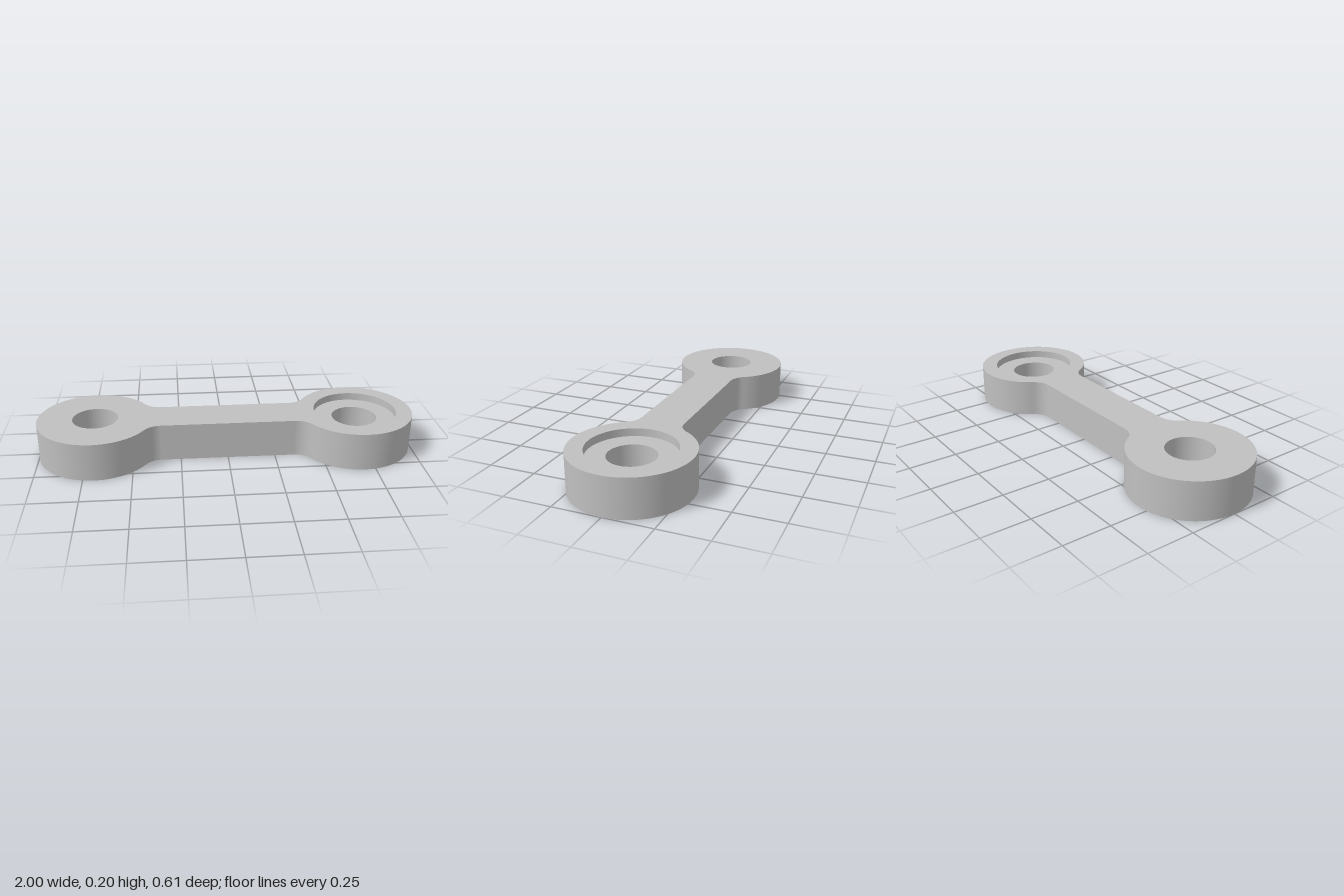
import * as THREE from 'three';

const H = 0.2;            // thickness
const CX = 0.695;         // eye centre offset
const R = 0.305;          // eye radius
const HOLE = 0.12, RECESS = 0.22, DEPTH = 0.04;
const BAR = 0.115;        // half width of the bar
const FILLET = 0.1;
const SEG = 64;

// Points along an arc
function arc(cx, cy, r, from, to, n) {
  return Array.from({ length: n + 1 }, (_, i) => {
    const a = from + (to - from) * i / n;
    return new THREE.Vector2(cx + r * Math.cos(a), cy + r * Math.sin(a));
  });
}

// Two round eyes joined by a bar, with fillets tangent to both
function outline() {
  const fy = BAR + FILLET;
  const dx = Math.sqrt((R + FILLET) ** 2 - fy ** 2);
  const fx = CX - dx;
  const t = Math.atan2(fy, dx);
  const P = Math.PI;
  return [
    ...arc(CX, 0, R, -P + t, P - t, 72).slice(1, -1),
    ...arc(fx, fy, FILLET, -t, -P / 2, 10),
    ...arc(-fx, fy, FILLET, -P / 2, -P + t, 10),
    ...arc(-CX, 0, R, t, 2 * P - t, 72).slice(1, -1),
    ...arc(-fx, -fy, FILLET, P - t, P / 2, 10),
    ...arc(fx, -fy, FILLET, P / 2, t, 10),
  ];
}

// Flat face with one opening in each eye
function faceGeometry(points, leftRadius, rightRadius) {
  const shape = new THREE.Shape(points);
  for (const [x, r] of [[CX, leftRadius], [-CX, rightRadius]]) {
    shape.holes.push(new THREE.Path(arc(x, 0, r, 0, Math.PI * 2, SEG).slice(0, -1)));
  }
  return new THREE.ShapeGeometry(shape);
}

// Smooth wall around the outline
function wallGeometry(points) {
  const pos = [], index = [], n = points.length;
  points.forEach((p, i) => {
    pos.push(p.x, 0, -p.y, p.x, H, -p.y);
    const b = 2 * i, c = 2 * ((i + 1) % n);
    index.push(b, c, c + 1, b, c + 1, b + 1);
  });
  const g = new THREE.BufferGeometry();
  g.setAttribute('position', new THREE.Float32BufferAttribute(pos, 3));
  g.setIndex(index);
  g.computeVertexNormals();
  return g;
}

export function createModel() {
  const grey = new THREE.MeshStandardMaterial({ color: 0xc0c0c0 });
  grey.name = 'grey';
  const model = new THREE.Group();
  model.name = 'link';
  const add = (name, geometry, parent = model) => {
    const mesh = new THREE.Mesh(geometry, grey);
    mesh.name = name;
    parent.add(mesh);
    return mesh;
  };

  const points = outline();
  add('outerWall', wallGeometry(points));
  add('topFace', faceGeometry(points, RECESS, HOLE).rotateX(-Math.PI / 2).translate(0, H, 0));
  add('bottomFace', faceGeometry(points, HOLE, RECESS).rotateX(Math.PI / 2));

  // Stepped bores, listed from top to bottom: recess above on the left, below on the right
  const bores = [
    ['leftBore', CX, [[RECESS, H], [RECESS, H - DEPTH], [HOLE, H - DEPTH], [HOLE, 0]]],
    ['rightBore', -CX, [[HOLE, H], [HOLE, DEPTH], [RECESS, DEPTH], [RECESS, 0]]],
  ];
  for (const [name, x, profile] of bores) {
    const bore = new THREE.Group();
    bore.name = name;
    bore.position.x = x;
    // One lathe per step keeps the edges sharp
    for (let i = 0; i < 3; i++) {
      const step = profile.slice(i, i + 2).map(p => new THREE.Vector2(...p));
      add(i === 1 ? 'recessFloor' : 'boreWall', new THREE.LatheGeometry(step, SEG), bore);
    }
    model.add(bore);
  }
  return model;
}
